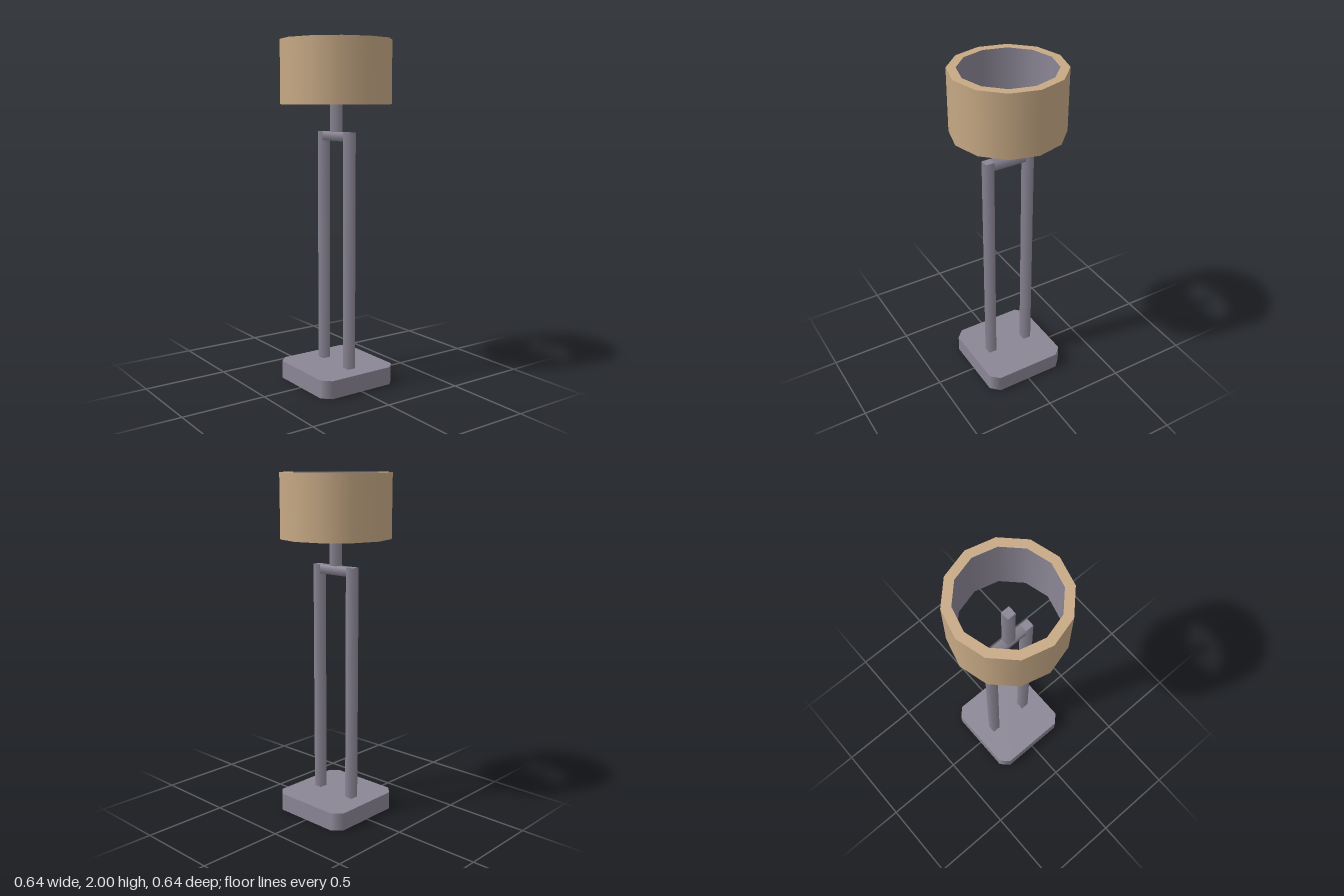
import * as THREE from 'three';

const metal = new THREE.MeshStandardMaterial({ color: 0x8b8695 });
metal.name = 'grey metal';
const fabric = new THREE.MeshStandardMaterial({ color: 0xc7a985 });
fabric.name = 'tan fabric';

function add(group, name, geometry, material) {
  const mesh = new THREE.Mesh(geometry, material);
  mesh.name = name;
  group.add(mesh);
  return mesh;
}

// Square bar with softly shaded sides, standing along y
function bar(length, half = 0.0255) {
  const r = half * Math.SQRT2;
  return new THREE.CylinderGeometry(r, r, length, 4).rotateY(Math.PI / 4);
}

// Square slab with cut corners; its shading rolls round each corner
function slab(half, cut, height) {
  const a = half, b = half - cut;
  const outline = [[a, -b], [a, b], [b, a], [-b, a], [-a, b], [-a, -b], [-b, -a], [b, -a]];
  const shape = new THREE.Shape(outline.map(([x, y]) => new THREE.Vector2(x, y)));
  const g = new THREE.ExtrudeGeometry(shape, { depth: height, bevelEnabled: false });
  g.rotateX(-Math.PI / 2);
  const p = g.attributes.position, n = g.attributes.normal;
  for (let i = 0; i < p.count; i++) {
    if (Math.abs(n.getY(i)) > 0.5) continue;
    const x = p.getX(i), z = p.getZ(i);
    if (Math.abs(x) > Math.abs(z)) n.setXYZ(i, Math.sign(x), 0, 0);
    else n.setXYZ(i, 0, 0, Math.sign(z));
  }
  return g;
}

// One twelve-sided surface of the shade, from a two-point profile
function band(r0, y0, r1, y1) {
  return new THREE.LatheGeometry([new THREE.Vector2(r0, y0), new THREE.Vector2(r1, y1)], 12);
}

export function createModel() {
  const lamp = new THREE.Group();
  lamp.name = 'floorLamp';

  add(lamp, 'base', slab(0.254, 0.05, 0.105), metal);

  // Frame: two posts, a crossbar and the stem that enters the shade
  const frame = new THREE.Group();
  frame.name = 'frame';
  lamp.add(frame);
  for (const [side, name] of [[1, 'leftPost'], [-1, 'rightPost']]) {
    add(frame, name, bar(1.38), metal).position.set(side * 0.1275, 0.79, 0);
  }
  add(frame, 'crossbar', bar(0.204).rotateZ(Math.PI / 2), metal).position.y = 1.4545;
  add(frame, 'stem', bar(0.34), metal).position.y = 1.65;

  // Open drum shade with a grey lining
  const shade = new THREE.Group();
  shade.name = 'shade';
  lamp.add(shade);
  const outer = 0.32, inner = 0.268, low = 1.637, high = 2;
  add(shade, 'shadeWall', band(outer, low, outer, high), fabric);
  add(shade, 'shadeTopRim', band(outer, high, inner, high), fabric);
  add(shade, 'shadeBottomRim', band(inner, low, outer, low), fabric);
  add(shade, 'shadeLining', band(inner, high, inner, low), metal);

  return lamp;
}
